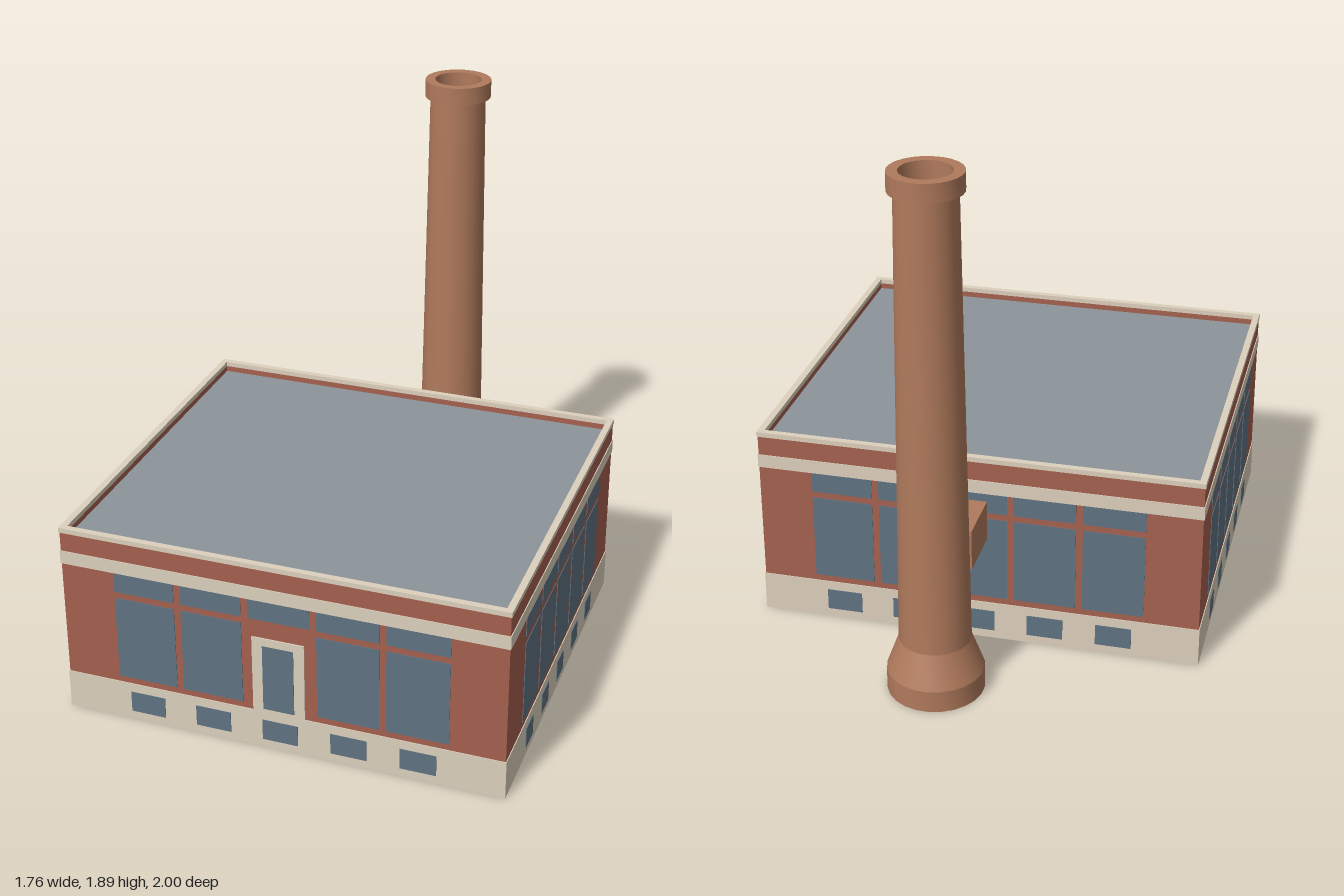
import * as THREE from 'three';
import { toCreasedNormals } from 'three/addons/utils/BufferGeometryUtils.js';

const W = 1.604, D = 1.434;            // building footprint
const ROOF_Y = 0.69;

const mat = (color, side = THREE.FrontSide) => new THREE.MeshStandardMaterial({ color, side });
const brick = mat(0xa5614f);
const cream = mat(0xddd0bd);
const glass = mat(0x5f7282);
const slate = mat(0x8c949a);
const clay = mat(0xb07a5c);
const clayShell = mat(0xb07a5c, THREE.DoubleSide);

function add(parent, name, geometry, material, x = 0, y = 0, z = 0) {
  const mesh = new THREE.Mesh(geometry, material);
  mesh.name = name;
  mesh.position.set(x, y, z);
  parent.add(mesh);
  return mesh;
}

// Rectangular frame of walls from y0 to y1, grown outwards by "out"
function wallRing(parent, name, material, y0, y1, thickness, out = 0) {
  const rect = (Path, w, d) => new Path().moveTo(-w, -d).lineTo(w, -d).lineTo(w, d).lineTo(-w, d).closePath();
  const shape = rect(THREE.Shape, W / 2 + out, D / 2 + out);
  shape.holes.push(rect(THREE.Path, W / 2 + out - thickness, D / 2 + out - thickness));
  const geometry = new THREE.ExtrudeGeometry(shape, { depth: y1 - y0, bevelEnabled: false });
  geometry.rotateX(-Math.PI / 2);
  add(parent, name, geometry, material, 0, y0, 0);
}

// Flat panel lying on a facade, given by its centre x, width and height range
function panel(parent, name, material, x, w, y0, y1, z = 0.001, depth = 0.003) {
  add(parent, name, new THREE.BoxGeometry(w, y1 - y0, depth), material, x, (y0 + y1) / 2, z);
}

// One wall's five window bays; the front has a door in the middle bay
function facade(name, pitch, width, basePitch, baseWidth, hasDoor) {
  const group = new THREE.Group();
  group.name = name;
  for (let i = -2; i <= 2; i++) {
    if (!(hasDoor && i === 0)) panel(group, 'tallWindow', glass, i * pitch, width, 0.17, 0.49);
    panel(group, 'transomWindow', glass, i * pitch, width, 0.515, 0.59);
    panel(group, 'basementWindow', glass, i * basePitch, baseWidth, 0.032, 0.112, 0.004);
  }
  if (hasDoor) {
    panel(group, 'doorFrame', cream, -0.003, 0.19, 0.14, 0.445, 0.002, 0.005);
    panel(group, 'doorPane', glass, -0.003, 0.113, 0.16, 0.415, 0.005);
  }
  return group;
}

function buildBuilding() {
  const building = new THREE.Group();
  building.name = 'building';

  // Walls, trim bands and parapet
  wallRing(building, 'brickWalls', brick, 0, 0.715, 0.005);
  wallRing(building, 'parapet', brick, ROOF_Y, 0.715, 0.02);
  wallRing(building, 'basePlinth', cream, 0, 0.146, 0.005, 0.003);
  wallRing(building, 'corniceBand', cream, 0.59, 0.64, 0.005, 0.003);
  wallRing(building, 'coping', cream, 0.712, 0.73, 0.024, 0.003);
  add(building, 'roof', new THREE.BoxGeometry(W - 0.006, 0.008, D - 0.006), slate, 0, ROOF_Y - 0.004, 0);

  // Facades: front, left, back, right
  for (let i = 0; i < 4; i++) {
    const long = i % 2 === 0;
    const side = long
      ? facade(i === 0 ? 'frontFacade' : 'backFacade', 0.247, 0.222, 0.249, 0.13, i === 0)
      : facade(i === 1 ? 'leftFacade' : 'rightFacade', 0.212, 0.187, 0.212, 0.09, false);
    const angle = i * Math.PI / 2;
    const distance = (long ? D : W) / 2;
    side.rotation.y = angle;
    side.position.set(Math.sin(angle) * distance, 0, Math.cos(angle) * distance);
    building.add(side);
  }

  // Flue duct leading to the chimney
  add(building, 'flueDuct', new THREE.BoxGeometry(0.225, 0.15, 0.22), clay, 0.073, 0.485, -0.82);

  building.position.z = 0.197;
  building.rotation.y = -0.108;
  return building;
}

function buildChimney(parent) {
  // Flared foot, tapering shaft, cap and flue opening
  const profile = [
    [0.17, 0], [0.17, 0.08], [0.126, 0.2], [0.105, 1.83],
    [0.125, 1.83], [0.125, 1.895], [0.088, 1.895], [0.088, 1.78],
  ].map(([r, y]) => new THREE.Vector2(r, y));
  const geometry = toCreasedNormals(new THREE.LatheGeometry(profile, 24), 0.32);
  add(parent, 'chimney', geometry, clayShell, 0.175, 0, -0.83);
}

export function createModel() {
  const model = new THREE.Group();
  model.name = 'boilerHouse';
  model.add(buildBuilding());
  buildChimney(model);
  return model;
}
